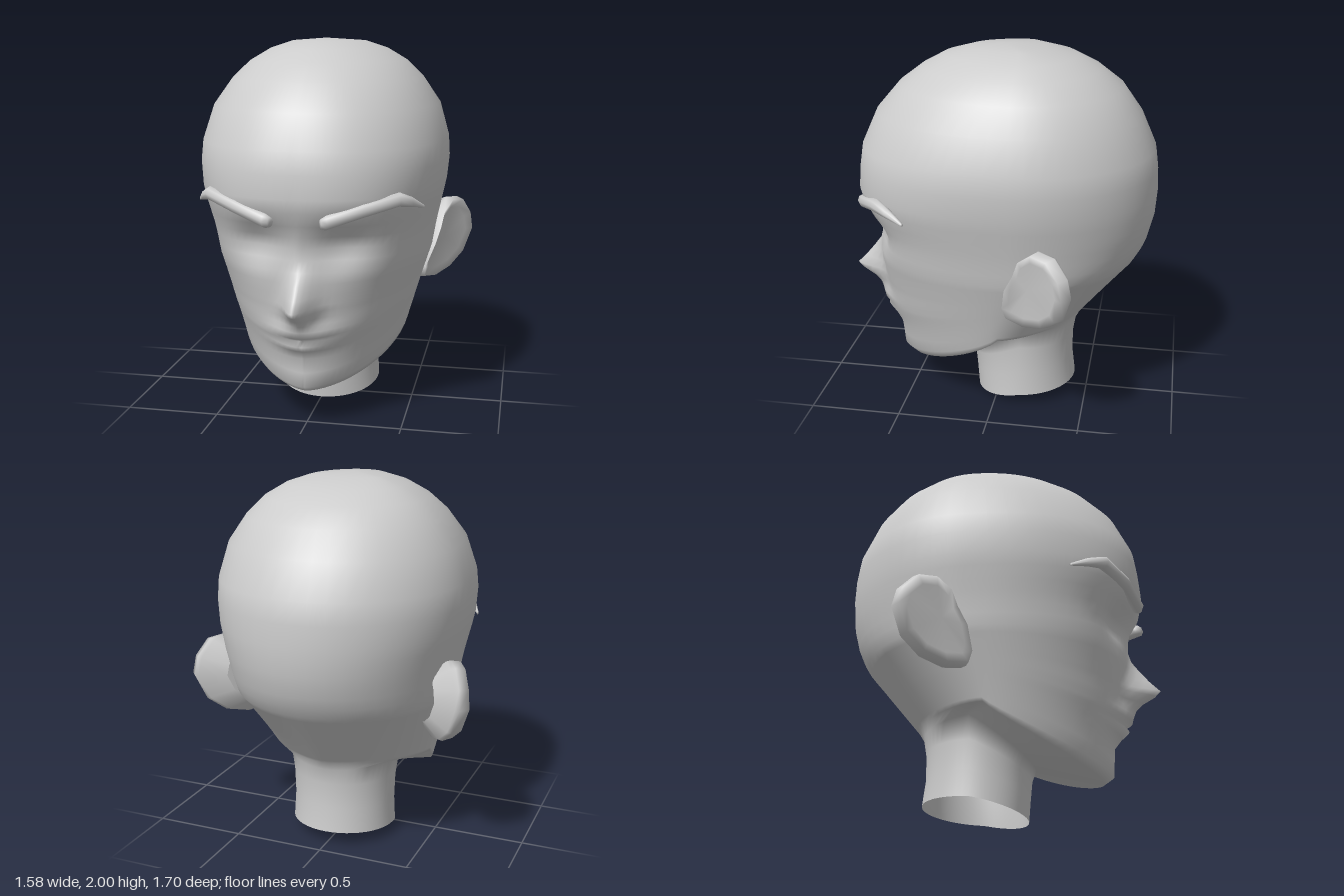
import * as THREE from 'three';

const skin = new THREE.MeshStandardMaterial({ color: 0xcccccc, side: THREE.DoubleSide });
skin.name = 'plain grey';

const lerp = THREE.MathUtils.lerp;
const gauss = (d, s) => Math.exp(-(d * d) / (2 * s * s));

// Skin a row of closed loops; optional centre points close the ends, side = -1 mirrors in x.
function loft(name, loops, { start, end, side = 1 } = {}) {
  const n = loops[0].length, pos = [], idx = [];
  const add = ([x, y, z]) => pos.push(x * side, y, z) / 3 - 1;
  const tri = (a, b, c) => (side > 0 ? idx.push(a, b, c) : idx.push(a, c, b));
  loops.forEach((loop) => loop.forEach(add));
  for (let i = 0; i < loops.length - 1; i++) {
    for (let j = 0; j < n; j++) {
      const a = i * n + j, b = i * n + ((j + 1) % n);
      tri(a, a + n, b);
      tri(b, a + n, b + n);
    }
  }
  if (start) {
    const c = add(start);
    for (let j = 0; j < n; j++) tri(c, j, (j + 1) % n);
  }
  if (end) {
    const c = add(end), o = (loops.length - 1) * n;
    for (let j = 0; j < n; j++) tri(c, o + ((j + 1) % n), o + j);
  }
  const geo = new THREE.BufferGeometry();
  geo.setAttribute('position', new THREE.Float32BufferAttribute(pos, 3));
  geo.setIndex(idx);
  geo.computeVertexNormals();
  const mesh = new THREE.Mesh(geo, skin);
  mesh.name = name;
  return mesh;
}

// One head ring: heights and depths at front, side and back, with points crowded towards the face.
const HALF = 32;
function ring({ yF, yS = yF, yB = yF, zF, zB, w, zW = -0.12, eF = 1, eB = 1, detail = 0, sigma = 0.1, sockets = true }) {
  const pts = [];
  for (let j = 0; j < HALF * 2; j++) {
    const s = j <= HALF ? 1 : -1;
    const u = (j <= HALF ? j : HALF * 2 - j) / HALF;
    const a = Math.PI * Math.pow(u, 1.45);
    const c = Math.cos(a), k = Math.abs(c), front = c > 0, e = front ? eF : eB;
    const x = w * Math.pow(Math.max(0, Math.sin(a)), e);
    const y = front ? lerp(yF, yS, 1 - c) : lerp(yS, yB, k);
    let z = zW + ((front ? zF : zB) - zW) * Math.pow(k, e);
    if (front) {
      z += detail * gauss(x, sigma);
      if (sockets) z -= 0.065 * gauss(x - 0.22, 0.1) * gauss(y - 0.99, 0.07);
    }
    pts.push([s * x, y, z]);
  }
  return pts;
}

function buildHead() {
  const rings = [];
  // Skull: height, front depth, back depth, half width, front roundness
  [
    [1.985, 0.17, -0.22, 0.2, 1], [1.945, 0.31, -0.4, 0.32, 1], [1.88, 0.43, -0.53, 0.43, 0.98],
    [1.79, 0.55, -0.65, 0.52, 0.95], [1.65, 0.67, -0.75, 0.615, 0.92], [1.47, 0.75, -0.83, 0.665, 0.88],
    [1.36, 0.765, -0.845, 0.672, 0.86], [1.24, 0.775, -0.85, 0.66, 0.85], [1.17, 0.76, -0.845, 0.645, 0.85],
    [1.1, 0.73, -0.84, 0.63, 0.86], [1.04, 0.705, -0.825, 0.617, 0.87], [0.98, 0.695, -0.81, 0.605, 0.88],
    [0.92, 0.69, -0.785, 0.595, 0.89],
  ].forEach(([yF, zF, zB, w, eF]) => rings.push(ring({ yF, zF, zB, w, eF })));

  // Face: front height, front depth, added nose or lip depth, its spread
  [
    [0.86, 0.685, 0.02, 0.045], [0.8, 0.675, 0.075, 0.045], [0.74, 0.665, 0.135, 0.048],
    [0.69, 0.66, 0.19, 0.05], [0.66, 0.655, 0.165, 0.055], [0.62, 0.65, 0.1, 0.055],
    [0.585, 0.65, 0.065, 0.06], [0.55, 0.645, 0.055, 0.09], [0.515, 0.64, 0.05, 0.11],
    [0.49, 0.635, 0.005, 0.1], [0.465, 0.625, 0.045, 0.1], [0.43, 0.615, 0.015, 0.09],
    [0.38, 0.6, -0.01, 0.1], [0.3, 0.585, 0, 0.1], [0.22, 0.575, 0.005, 0.1], [0.185, 0.53, 0, 0.1],
  ].forEach(([yF, zF, detail, sigma]) => {
    const k = (0.86 - yF) / 0.675;
    rings.push(ring({
      yF, zF, detail, sigma,
      yS: lerp(0.86, 0.49, k), yB: lerp(0.86, 0.5, k),
      zB: lerp(-0.75, -0.46, k), w: lerp(0.585, 0.47, k), zW: lerp(-0.12, -0.05, k),
      eF: lerp(0.9, 1.25, k), eB: lerp(1, 1.3, k),
    }));
  });

  // Under the jaw and down the open neck
  [
    [0.275, 0.49, 0.45, 0.17, -0.43, 0.3], [0.22, 0.36, 0.36, 0.15, -0.415, 0.285],
    [0.12, 0.2, 0.22, 0.14, -0.412, 0.28], [0, 0.06, 0.08, 0.13, -0.43, 0.288],
  ].forEach(([yF, yS, yB, zF, zB, w]) =>
    rings.push(ring({ yF, yS, yB, zF, zB, w, zW: -0.14, sockets: false })));
  return loft('headAndNeck', rings, { start: [0, 2, -0.02] });
}

// Arched eyebrow tapering to the temple
function buildBrow(side) {
  const path = [
    [0.125, 1.125, 0.755, 0.024], [0.15, 1.13, 0.75, 0.036], [0.32, 1.185, 0.685, 0.036],
    [0.485, 1.228, 0.575, 0.036], [0.54, 1.205, 0.5, 0.025], [0.59, 1.17, 0.415, 0.008],
  ];
  const loops = path.map(([x, y, z, r]) => Array.from({ length: 8 }, (_, j) => {
    const a = (j / 8) * Math.PI * 2;
    return [x + 0.4 * r * Math.cos(a), y + r * Math.sin(a), z + 0.9 * r * Math.cos(a)];
  }));
  return loft(side > 0 ? 'leftEyebrow' : 'rightEyebrow', loops,
    { start: path[0].slice(0, 3), end: path[5].slice(0, 3), side });
}

// Flared ear plate: root inside the head, back rim, front rim and a shallow bowl
function buildEar(side) {
  const outline = [
    [-0.22, 1.04], [-0.29, 1.1], [-0.38, 1.09], [-0.45, 1.0], [-0.47, 0.9], [-0.43, 0.76],
    [-0.35, 0.68], [-0.24, 0.645], [-0.14, 0.66], [-0.12, 0.72], [-0.14, 0.85], [-0.19, 0.95],
  ];
  const layer = (scale, dx, dz) => outline.map(([z0, y0]) => {
    const x = 0.58 + 0.6 * (-0.12 - z0) - 0.3 * Math.max(0, 0.85 - y0);
    return [
      lerp(0.63, x, scale) + dx,
      lerp(0.88, y0, scale),
      lerp(-0.27, z0, scale) + dz,
    ];
  });
  const loops = [layer(0.6, -0.13, 0), layer(0.97, -0.055, -0.005), layer(1, -0.035, 0),
    layer(0.95, 0.01, 0.035), layer(0.75, 0.005, 0.03)];
  return loft(side > 0 ? 'leftEar' : 'rightEar', loops, { end: [0.645, 0.88, -0.235], side });
}

export function createModel() {
  const model = new THREE.Group();
  model.name = 'head';
  model.add(buildHead());
  for (const side of [1, -1]) model.add(buildBrow(side), buildEar(side));
  return model;
}
